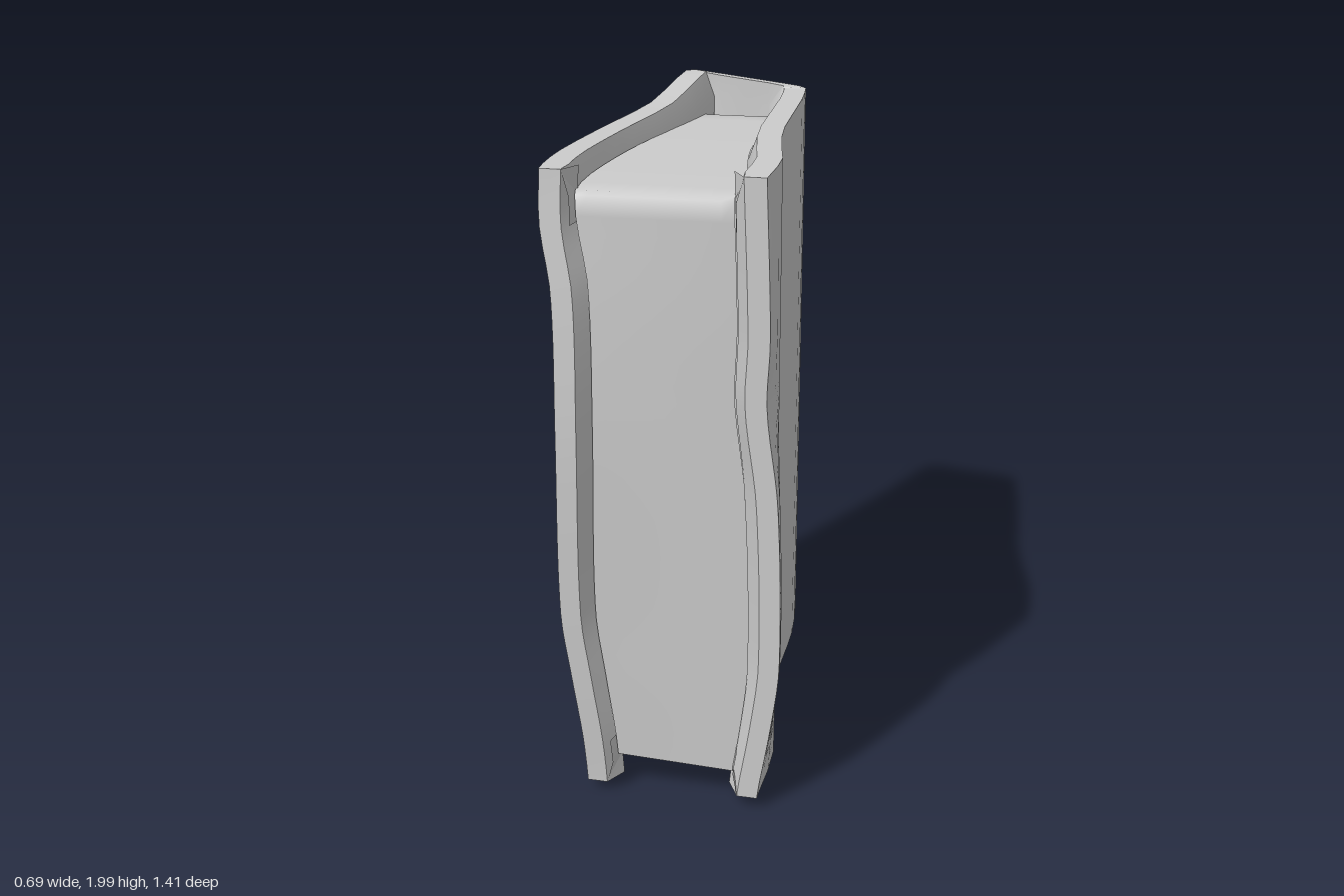
import * as THREE from 'three';
import { toCreasedNormals } from 'three/addons/utils/BufferGeometryUtils.js';

const { lerp, clamp, smoothstep } = THREE.MathUtils;

// Smooth curve through [t, value] pairs, with t ascending
function curve(p) {
  const slope = (i) => {
    const a = p[Math.max(i - 1, 0)], b = p[Math.min(i + 1, p.length - 1)];
    return (b[1] - a[1]) / (b[0] - a[0]);
  };
  return (t) => {
    t = clamp(t, p[0][0], p[p.length - 1][0]);
    let i = 0;
    while (i < p.length - 2 && t > p[i + 1][0]) i++;
    const h = p[i + 1][0] - p[i][0], s = (t - p[i][0]) / h, s2 = s * s, s3 = s2 * s;
    return (2 * s3 - 3 * s2 + 1) * p[i][1] + (s3 - 2 * s2 + s) * h * slope(i)
      + (3 * s2 - 2 * s3) * p[i + 1][1] + (s3 - s2) * h * slope(i + 1);
  };
}

// Grid of points fn(column, row) as a surface with sharp creases
function grid(columns, rows, fn) {
  const pos = [], index = [];
  for (let r = 0; r < rows; r++) for (let c = 0; c < columns; c++) pos.push(...fn(c, r));
  for (let r = 0; r < rows - 1; r++) {
    for (let c = 0; c < columns - 1; c++) {
      const a = r * columns + c, b = a + 1, up = a + columns;
      index.push(a, up, b, b, up, up + 1);
    }
  }
  const g = new THREE.BufferGeometry();
  g.setAttribute('position', new THREE.Float32BufferAttribute(pos, 3));
  g.setIndex(index);
  return toCreasedNormals(g, 0.9);
}

// Outer x of each cover near the front edge, by height
const frontL = curve([[0.04, -0.25], [0.2, -0.262], [0.4, -0.29], [0.62, -0.318], [1.2, -0.308], [1.6, -0.312], [1.8, -0.347], [1.95, -0.345]]);
const flareR = curve([[0.04, -0.01], [0.3, 0.032], [0.5, 0.053], [1, 0.042], [1.3, 0.007], [1.5, 0.014], [1.95, 0]]);
// How far the left cover has swung out, and the right cover's outer x, by depth
const swingL = curve([[-0.68, 0], [-0.5, 0.1], [-0.2, 0.37], [0, 0.64], [0.2, 0.85], [0.45, 1], [0.6, 0.93], [0.7, 0.78]]);
const sideR = curve([[-0.68, 0.163], [-0.6, 0.173], [-0.5, 0.185], [-0.2, 0.203], [0, 0.214], [0.17, 0.235], [0.35, 0.27], [0.45, 0.288], [0.68, 0.288]]);
const xL = (y, z) => lerp(lerp(-0.235, -0.25, y / 2), frontL(y), swingL(z));
const xR = (y, z) => sideR(z) + flareR(y) * smoothstep(z, 0.38, 0.68);

// Wavy bottom and top rims, by depth
const bottomL = curve([[-0.68, 0.03], [-0.4, 0.035], [0, 0.07], [0.25, 0.053], [0.68, 0.04]]);
const bottomR = curve([[-0.68, 0.018], [-0.5, 0.008], [-0.3, 0.035], [0, 0.088], [0.25, 0.075], [0.68, 0.048]]);
const topL = curve([[-0.68, 1.998], [-0.55, 1.985], [-0.3, 1.948], [0.68, 1.928]]);
const topR = curve([[-0.68, 1.955], [0.68, 1.93]]);
const bulgeL = curve([[0.05, 0], [0.4, 0.022], [1.1, 0.046], [1.5, 0.034], [1.93, 0.004]]);

// Stations round the cover: side (-1 left, 0 spine, 1 right), depth or spine fraction
const TIP = 0.662;
const depths = [TIP, 0.65, 0.6, 0.52, 0.42, 0.3, 0.15, 0, -0.15, -0.3, -0.45, -0.56, -0.61, -0.645];
const stations = [
  ...depths.map((z) => [-1, z]),
  ...[0.06, 0.14, 0.3, 0.5, 0.7, 0.86, 0.94].map((f) => [0, f]),
  ...depths.slice().reverse().map((z) => [1, z]),
];

// Point of the cover at height fraction v, set in by wall thickness t
function coverPoint([side, s], v, t) {
  const h = lerp(0.03, 1.95, v);
  const z0 = side ? s : -0.672 + 0.008 * Math.abs(2 * s - 1) ** 6;
  const f = side ? (side + 1) / 2 : s;
  let x = side < 0 ? xL(h, z0) : side > 0 ? xR(h, z0) : lerp(xL(h, z0), xR(h, z0), s);
  let z = z0;
  // Left leaf bulges forward; the upper spine corner flares back
  const flare = 0.038 * (1 - f) * smoothstep(h, 1.5, 1.92);
  if (side < 0) z += bulgeL(h) * smoothstep(z0, 0.2, 0.67);
  z -= flare * smoothstep(-z0, 0.5, 0.67);
  const y = lerp(lerp(bottomL(z0), bottomR(z0), f), lerp(topL(z0), topR(z0), f), v);
  if (t) {
    const wall = t * (1 - 0.15 * smoothstep(z0, 0.6, TIP));
    x = clamp(x, xL(h, z0) + wall, xR(h, z0) - wall);
    z = Math.max(z, -0.632 - flare);
  }
  return [x, y, z];
}

const RIM = 0.072, DEEP = 0.1, ROWS = 36;

// Outer skin, both rims and the lips that run down to the pages: [v, inset]
const lip = [[0, RIM], [0.04, DEEP], [0.08, DEEP]];
const coverProfile = [
  ...lip.slice().reverse(),
  ...Array.from({ length: ROWS + 1 }, (_, i) => [i / ROWS, 0]),
  ...lip.map(([v, t]) => [1 - v, t]),
];
const coverGeometry = () => grid(stations.length, coverProfile.length,
  (c, r) => coverPoint(stations[c], ...coverProfile[r]));

// Front edge of one cover, turning in to meet the pages
function frontEdgeGeometry(side) {
  const path = [[TIP, 0], [TIP, RIM], [0.6, DEEP]];
  if (side < 0) path.reverse();
  return grid(3, ROWS + 1, (c, r) => coverPoint([side, path[c][0]], r / ROWS, path[c][1]));
}

// Page block: [z, y] from the bottom gutter, round the front, to the top gutter
const pageProfile = [[-0.645, 0.17], [-0.6, 0.16], [-0.575, 0.125]];
for (let z = -0.5; z < 0.6; z += 0.1) pageProfile.push([z, 0.125 + 0.02 * Math.cos(z * 2.4)]);
pageProfile.push([0.615, 0.125]);
for (let i = 0; i <= 30; i++) pageProfile.push([0.635, lerp(0.13, 1.855, i / 30)]);
pageProfile.push([0.622, 1.866]);
for (let z = 0.55; z > -0.55; z -= 0.1) pageProfile.push([z, 1.868 + 0.012 * Math.cos(z * 2.4)]);
pageProfile.push([-0.57, 1.855], [-0.6, 1.81], [-0.645, 1.8]);

function pagesGeometry() {
  const columns = 13;
  return grid(columns, pageProfile.length, (c, r) => {
    const u = 1 - c / (columns - 1);
    let [z, y] = pageProfile[r];
    const x = lerp(xL(y, z) + 0.097, xR(y, z) - 0.097, u);
    const arch = 1 - (2 * u - 1) ** 2;
    // Rounded back, and a front that follows the bulging left leaf
    if (z < -0.55) z = Math.max(z - 0.022 * arch, -0.645);
    if (z > 0.6) z += (1 - u) * 0.5 * bulgeL(y) - 0.008 * u;
    return [x, y - (y < 1 ? 0.018 * u : 0), z];
  });
}

export function createModel() {
  const group = new THREE.Group();
  group.name = 'book';
  const material = new THREE.MeshStandardMaterial({ color: 0xcccccc, side: THREE.DoubleSide });
  const parts = {
    cover: coverGeometry(),
    leftFrontEdge: frontEdgeGeometry(-1),
    rightFrontEdge: frontEdgeGeometry(1),
    pages: pagesGeometry(),
  };
  for (const [name, geometry] of Object.entries(parts)) {
    const mesh = new THREE.Mesh(geometry, material);
    mesh.name = name;
    group.add(mesh);
  }
  return group;
}
